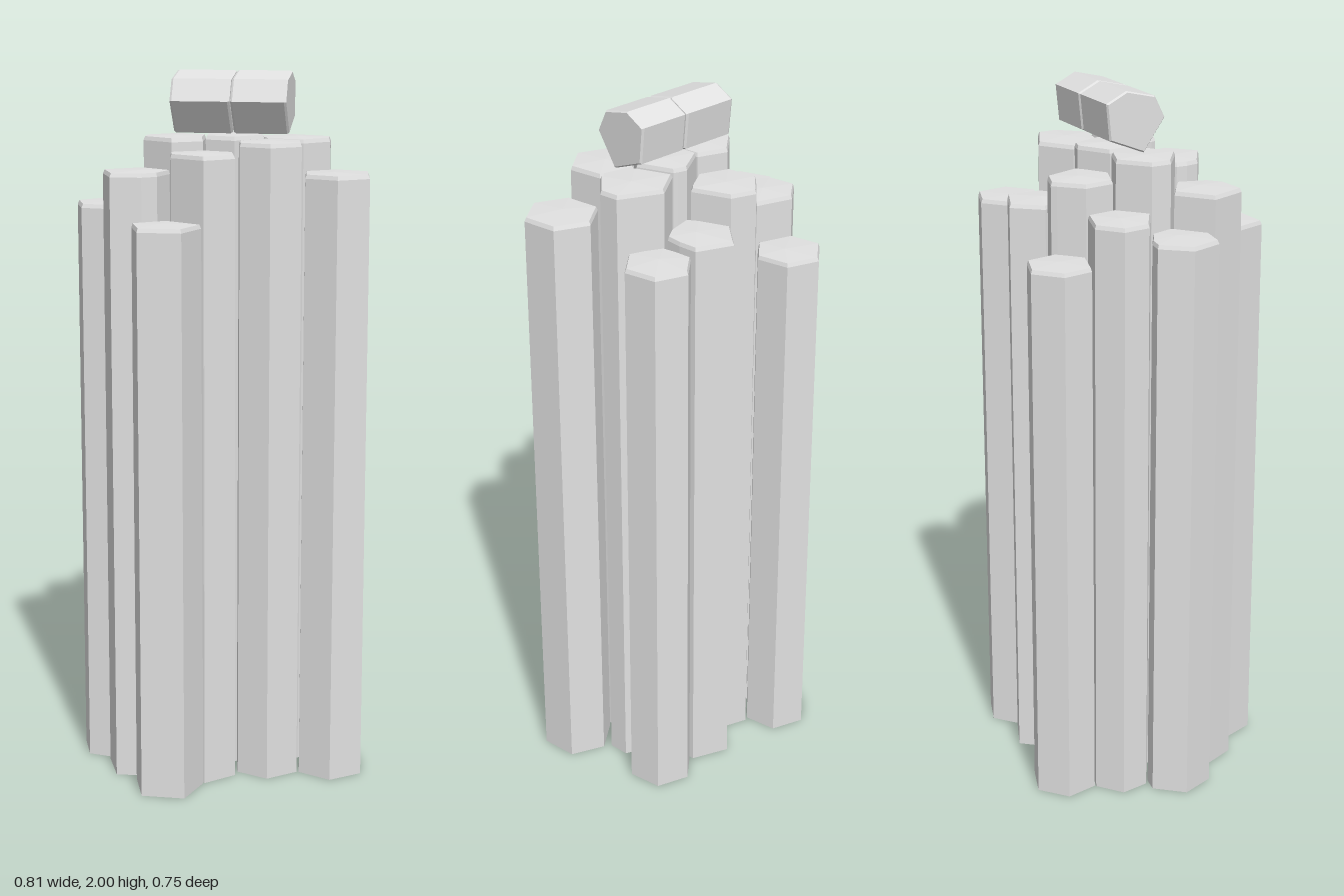
import * as THREE from 'three';

// Columns are hollow underneath, so both sides show
const stone = new THREE.MeshStandardMaterial({ color: 0xe1e1e1, flatShading: true, side: THREE.DoubleSide });
stone.name = 'pale grey stone';

// Walls through an [x, z] outline (clockwise from above) repeated at rings of [y, scale];
// a ring of scale 0 closes an end.
function prism(outline, rings) {
  const n = outline.length;
  const cx = outline.reduce((s, p) => s + p[0], 0) / n;
  const cz = outline.reduce((s, p) => s + p[1], 0) / n;
  const pos = [], index = [];
  for (const [y, k] of rings) {
    for (const [x, z] of outline) pos.push(cx + (x - cx) * k, y, cz + (z - cz) * k);
  }
  for (let r = 0; r < (rings.length - 1) * n; r += n) {
    for (let i = 0; i < n; i++) {
      const j = (i + 1) % n;
      if (rings[r / n][1] > 0) index.push(r + j, r + i, r + n + i);
      if (rings[r / n + 1][1] > 0) index.push(r + j, r + n + i, r + n + j);
    }
  }
  const g = new THREE.BufferGeometry();
  g.setAttribute('position', new THREE.Float32BufferAttribute(pos, 3));
  g.setIndex(index);
  g.computeVertexNormals();
  return g;
}

// Standing columns: centre x, centre z, radius, angle of a corner in degrees, sides, height
const columns = [
  [-0.127, -0.275, 0.098, 30, 6, 1.575],
  [-0.205, -0.133, 0.104, 32, 6, 1.69],
  [-0.029, -0.129, 0.102, 30, 6, 1.77],
  [0.126, -0.159, 0.102, 51, 5, 1.685],
  [0.294, -0.138, 0.096, 30, 6, 1.66],
  [0.195, -0.002, 0.13, 36, 6, 1.82],
  [-0.313, -0.009, 0.101, 21, 6, 1.64],
  [-0.118, 0.017, 0.12, 30, 6, 1.825],
  [0.032, 0.03, 0.12, 30, 6, 1.83],
  [-0.238, 0.134, 0.101, 61, 5, 1.74],
  [-0.055, 0.172, 0.102, 28, 6, 1.79],
  [0.13, 0.148, 0.1, 32, 6, 1.82],
  [0.314, 0.157, 0.103, 34, 6, 1.735],
  [-0.157, 0.284, 0.104, 64, 5, 1.61],
];

// Keep the part of an outline where (p - origin) . normal <= limit.
function clip(outline, [ox, oz], [nx, nz], limit) {
  const side = ([x, z]) => (x - ox) * nx + (z - oz) * nz - limit;
  return outline.flatMap((p, i) => {
    const q = outline[(i + 1) % outline.length];
    const a = side(p), b = side(q);
    const kept = a <= 0 ? [p] : [];
    if (a * b < 0) {
      const t = a / (a - b);
      kept.push([p[0] + (q[0] - p[0]) * t, p[1] + (q[1] - p[1]) * t]);
    }
    return kept;
  });
}

// Footprint: a regular polygon cut halfway to every neighbour, leaving a narrow joint.
function footprint(column) {
  const [x, z, radius, angle, sides] = column;
  let outline = Array.from({ length: sides }, (_, i) => {
    const a = THREE.MathUtils.degToRad(angle) + (i / sides) * Math.PI * 2;
    return [x + radius * Math.cos(a), z + radius * Math.sin(a)];
  });
  for (const other of columns) {
    if (other === column) continue;
    const dx = other[0] - x, dz = other[1] - z, d = Math.hypot(dx, dz);
    outline = clip(outline, [x, z], [dx / d, dz / d], d / 2 - 0.002);
  }
  return outline;
}

export function createModel() {
  const model = new THREE.Group();
  model.name = 'stone column cluster';

  // Standing columns, slightly tapered with a worn rim
  columns.forEach((column, i) => {
    const h = column[5];
    const rings = [[0, 1], [h - 0.014, 0.98], [h - 0.003, 0.935], [h, 0]];
    const mesh = new THREE.Mesh(prism(footprint(column), rings), stone);
    mesh.name = `standing column ${i + 1}`;
    model.add(mesh);
  });

  // Fallen column lying on top, broken in two
  const section = [[0.09, 0.085], [0.06, 0.145], [-0.026, 0.165], [-0.085, 0.135], [-0.075, 0.035], [0.027, -0.005]];
  const fallen = new THREE.Group();
  fallen.name = 'fallen column';
  const a = THREE.MathUtils.degToRad(12), c = Math.cos(a), s = Math.sin(a);
  fallen.quaternion.setFromRotationMatrix(new THREE.Matrix4().makeBasis(
    new THREE.Vector3(-s, 0, c), new THREE.Vector3(c, 0, s), new THREE.Vector3(0, 1, 0)));
  fallen.position.set(0.035, 1.835, 0.017);
  [[-0.164, 0.003], [0.005, 0.16]].forEach(([t0, t1], i) => {
    const rings = [[t0, 0], [t0, 0.95], [t0 + 0.006, 1], [t1 - 0.006, 1], [t1, 0.95], [t1, 0]];
    const piece = new THREE.Mesh(prism(section, rings), stone);
    piece.name = `fallen piece ${i + 1}`;
    fallen.add(piece);
  });
  model.add(fallen);

  return model;
}
